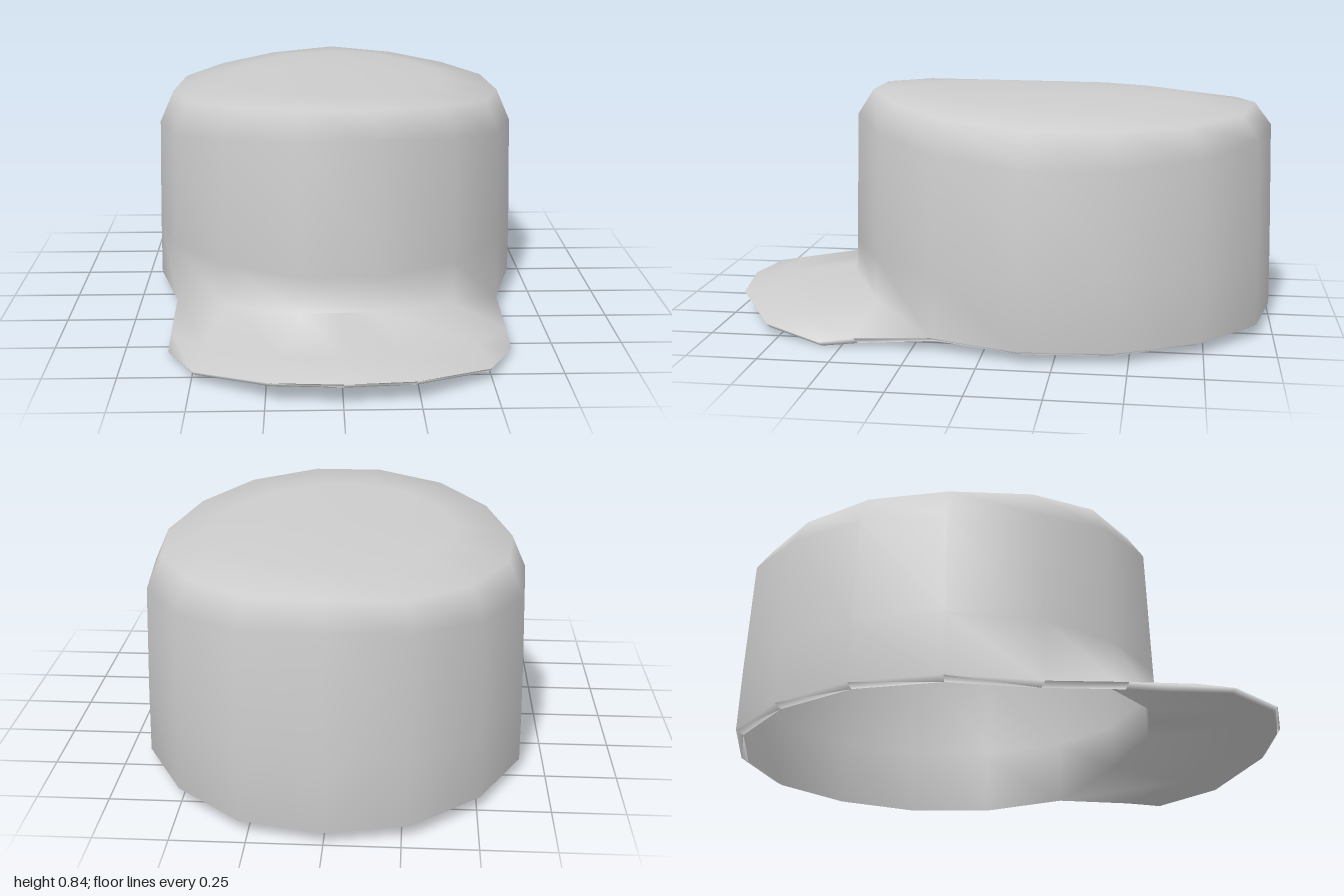
import * as THREE from 'three';

// Half outline of the crown, back to front: x, z, bottom y, shoulder y, rim y
const HALF = [
  [0, -1, 0.05, 0.73, 0.81],
  [0.28, -0.94, 0.05, 0.71, 0.795],
  [0.51, -0.74, 0.05, 0.68, 0.785],
  [0.66, -0.46, 0.05, 0.665, 0.783],
  [0.69, -0.14, 0.05, 0.665, 0.783],
  [0.6, 0.18, 0.055, 0.69, 0.805],
  [0.41, 0.41, 0.125, 0.73, 0.835],
  [0.14, 0.55, 0.15, 0.76, 0.85],
];
const mirrorX = ([x, ...rest]) => [-x, ...rest];
const OUTLINE = [...HALF, ...HALF.slice(1).reverse().map(mirrorX)];
const CENTRE_Z = -0.2;
const BRIM_START = 5, BRIM_END = 10;

// Outer edge of the brim, from the left side round to the right: x, y, z
const EDGE_HALF = [[0.595, 0.022, 0.58], [0.495, 0.05, 0.8], [0.235, 0.085, 0.965]];
const EDGE = [...EDGE_HALF, [0, 0.093, 0.998], ...[...EDGE_HALF].reverse().map(mirrorX)];

// Crown rings: inner apex, down the lining, round the lip, up the outside to the apex
const dome = (t, top) => (p) => top + (p[4] - 0.85) * t * t;
const RINGS = [
  [0, () => 0.82],
  [0.5, dome(0.5, 0.82)],
  [0.87, (p) => p[4] - 0.03],
  [0.935, (p) => p[3] - 0.02],
  [0.955, () => 0.28],
  [0.965, (p) => p[2] - 0.016],
  [1, (p) => p[2]],
  [0.994, () => 0.28],
  [0.976, (p) => p[3]],
  [0.9, (p) => p[4]],
  [0.6, dome(0.6, 0.85)],
  [0.3, dome(0.3, 0.85)],
  [0, () => 0.85],
];
const LIP = 5;

const ringPoint = ([scale, height], p) =>
  [p[0] * scale, height(p), CENTRE_Z + (p[1] - CENTRE_Z) * scale];
const mix = (a, b, t) => a.map((v, k) => v + (b[k] - v) * t);

export function createModel() {
  const positions = [];
  const known = new Map();
  // Shared vertices keep the shading smooth from crown to brim
  const vertex = (p) => {
    const key = p.map((v) => Math.round(v * 1e4)).join();
    if (!known.has(key)) {
      known.set(key, positions.length / 3);
      positions.push(...p);
    }
    return known.get(key);
  };
  const quad = (index, a, b, c, d) => {
    for (const t of [[a, b, c], [a, c, d]]) {
      if (new Set(t).size === 3) index.push(...t);
    }
  };

  // Crown with lining; the lip is left open where the brim joins
  const crown = [];
  const rings = RINGS.map((ring) => OUTLINE.map((p) => vertex(ringPoint(ring, p))));
  for (let r = 0; r < rings.length - 1; r++) {
    for (let i = 0; i < OUTLINE.length; i++) {
      if (r === LIP && i >= BRIM_START && i < BRIM_END) continue;
      const j = (i + 1) % OUTLINE.length;
      quad(crown, rings[r][i], rings[r + 1][i], rings[r + 1][j], rings[r][j]);
    }
  }

  // Brim: cross-sections from the lining, round the edge, back to the outside
  const brim = [];
  const roots = OUTLINE.slice(BRIM_START, BRIM_END + 1);
  roots.splice(3, 0, mix(roots[2], roots[3], 0.5));
  const sections = roots.map((p, i) => {
    const inner = ringPoint(RINGS[LIP], p);
    const outer = ringPoint(RINGS[LIP + 1], p);
    const top = EDGE[i];
    const under = [top[0] * 0.985, top[1] - 0.016, top[2] - 0.012];
    const topMid = mix(outer, top, 0.68);
    const underMid = mix(inner, under, 0.68);
    topMid[1] += 0.008;
    underMid[1] += 0.004;
    return [inner, underMid, under, top, topMid, outer].map(vertex);
  });
  for (let i = 0; i < sections.length - 1; i++) {
    const a = sections[i], b = sections[i + 1];
    for (let r = 0; r < 5; r++) quad(brim, a[r], a[r + 1], b[r + 1], b[r]);
  }

  // Side ends of the brim
  const s = sections[0], e = sections[sections.length - 1];
  for (const k of [0, 1]) {
    quad(brim, s[k], s[5 - k], s[4 - k], s[k + 1]);
    quad(brim, e[k], e[k + 1], e[4 - k], e[5 - k]);
  }

  const whole = new THREE.BufferGeometry();
  whole.setAttribute('position', new THREE.Float32BufferAttribute(positions, 3));
  whole.setIndex([...crown, ...brim]);
  whole.computeVertexNormals();

  const material = new THREE.MeshStandardMaterial({ color: 0xcccccc });
  const group = new THREE.Group();
  group.name = 'cap';
  for (const [name, index] of [['crown', crown], ['brim', brim]]) {
    const geometry = new THREE.BufferGeometry();
    geometry.setAttribute('position', whole.getAttribute('position'));
    geometry.setAttribute('normal', whole.getAttribute('normal'));
    geometry.setIndex(index);
    const mesh = new THREE.Mesh(geometry, material);
    mesh.name = name;
    group.add(mesh);
  }
  return group;
}
